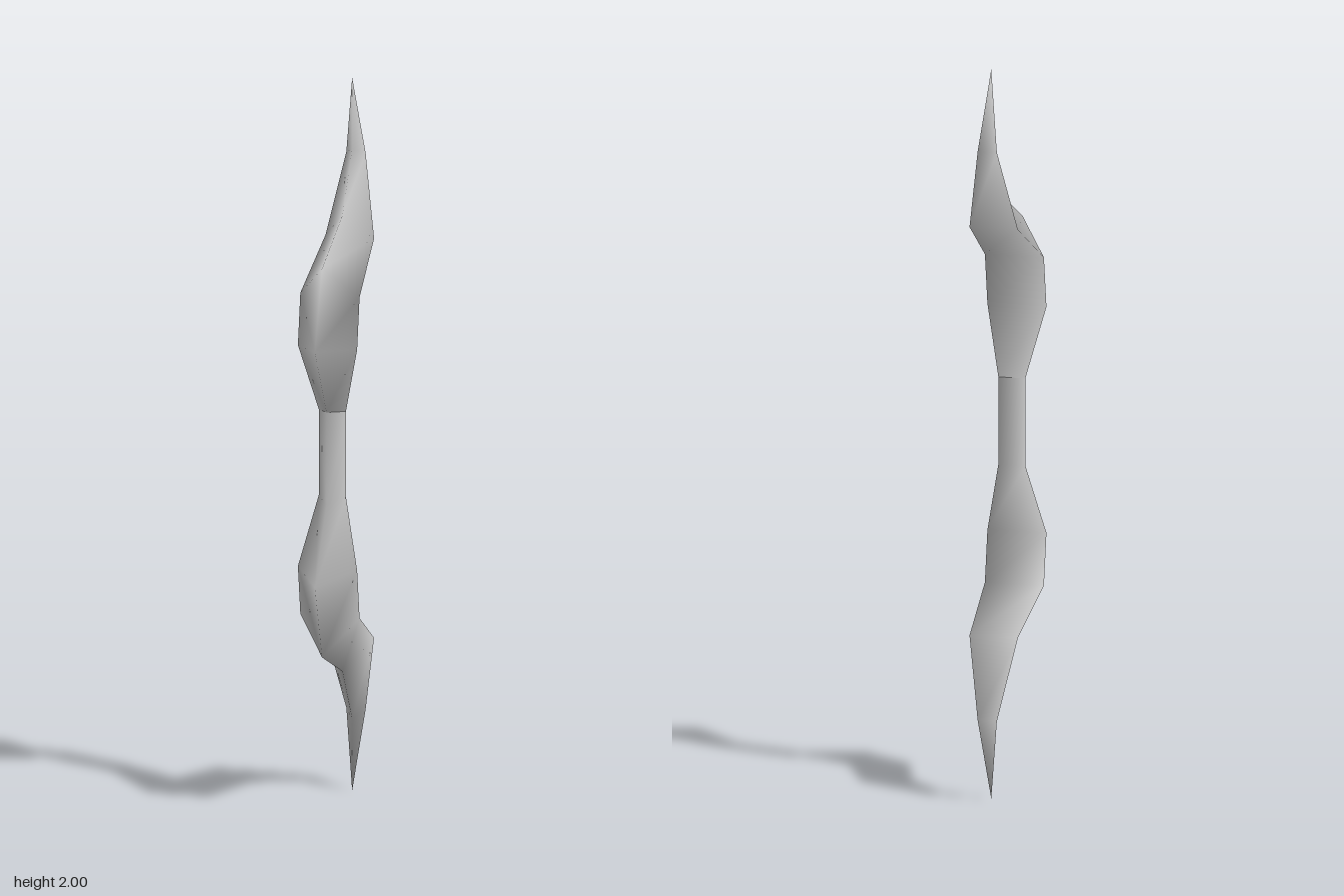
import * as THREE from 'three';
import { mergeVertices } from 'three/addons/utils/BufferGeometryUtils.js';

// Triangular sections, from the grip up to the tip:
// [front ridge y, front ridge z, back y, back z, back half width]
const LIMB = [
  [1.13, 0.088, 1.12, 0.03, 0.038],
  [1.33, 0.203, 1.31, 0.078, 0.083],
  [1.545, 0.132, 1.45, 0.054, 0.083],
  [1.64, -0.07, 1.56, -0.142, 0.068],
  [1.8, -0.165, 1.78, -0.203, 0.027],
  [2, -0.165, 2, -0.165, 0],
];

// The same section reflected about the middle of the bow (y = 1)
const mirror = ([fy, fz, by, bz, w]) => [2 - fy, fz, 2 - by, bz, w];

// Skins a list of sections, ordered upwards, with smooth normals
function skin(name, sections, material) {
  const positions = [];
  const index = [];
  for (const [fy, fz, by, bz, w] of sections) {
    positions.push(0, fy, fz, w, by, bz, -w, by, bz);
  }
  for (let i = 0; i < sections.length - 1; i++) {
    for (let j = 0; j < 3; j++) {
      const k = (j + 1) % 3;
      const a = i * 3 + j, b = i * 3 + k, c = b + 3, d = a + 3;
      // the right flank uses the other diagonal, so both flanks match
      if (j === 2) index.push(a, b, d, b, c, d);
      else index.push(a, b, c, a, c, d);
    }
  }
  let geometry = new THREE.BufferGeometry();
  geometry.setAttribute('position', new THREE.Float32BufferAttribute(positions, 3));
  geometry.setIndex(index);
  geometry = mergeVertices(geometry); // joins the corners at the pointed tip
  geometry.computeVertexNormals();
  const mesh = new THREE.Mesh(geometry, material);
  mesh.name = name;
  return mesh;
}

export function createModel() {
  const bow = new THREE.Group();
  bow.name = 'bow';
  const material = new THREE.MeshStandardMaterial({ color: 0xcccccc, side: THREE.DoubleSide });

  // Upper limb, with a seam where it meets the grip
  bow.add(skin('upperLimb', LIMB, material));

  // Lower limb running smoothly into the grip
  const lower = LIMB.map(mirror).reverse();
  bow.add(skin('lowerLimbAndGrip', [...lower, LIMB[0]], material));

  return bow;
}
